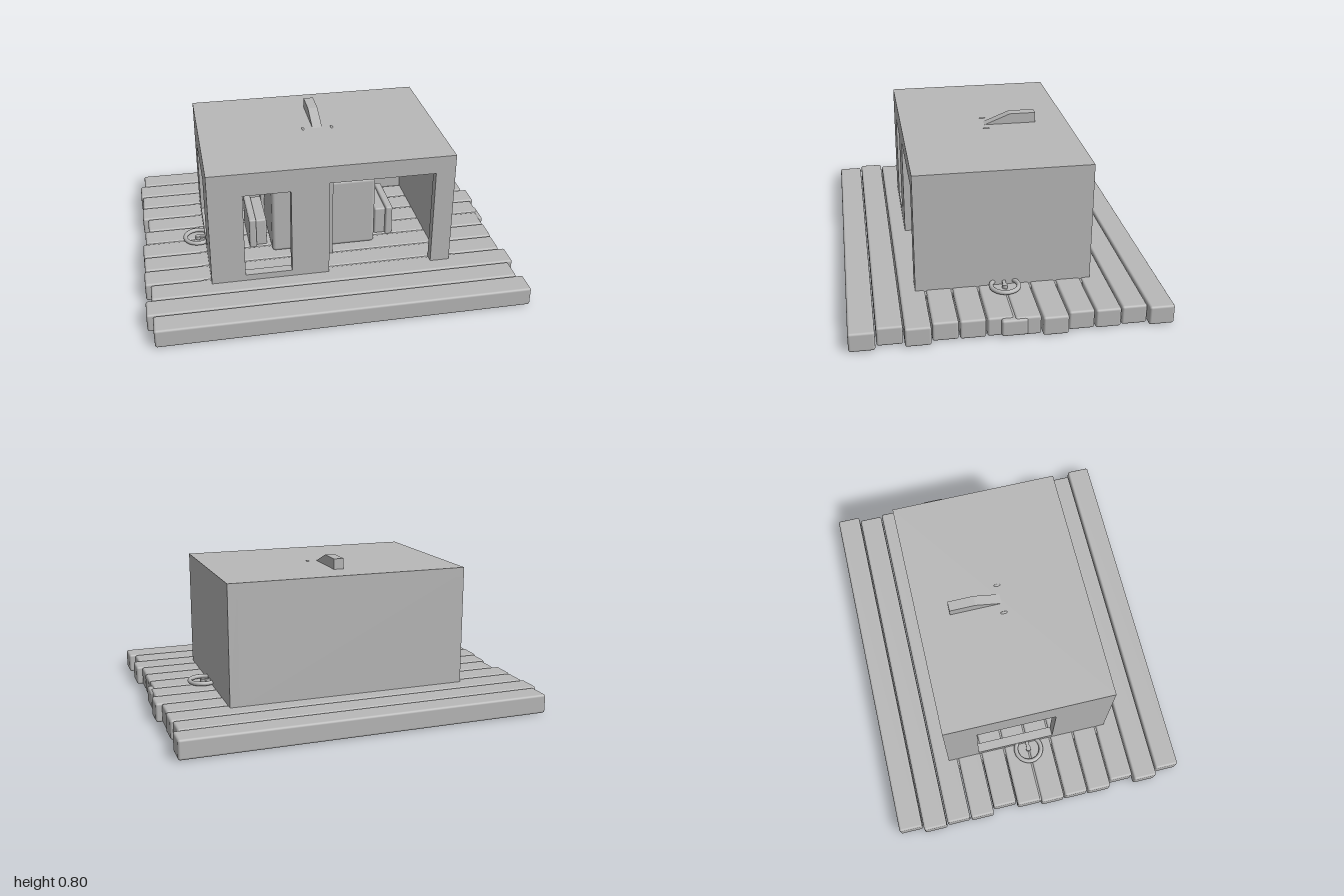
import * as THREE from 'three';
import { RoundedBoxGeometry } from 'three/addons/geometries/RoundedBoxGeometry.js';

export function createModel() {
  const model = new THREE.Group();
  const grey = new THREE.MeshStandardMaterial({ color: 0xb8b8b8 });
  grey.name = 'plain grey';

  const add = (name, geometry, x = 0, y = 0, z = 0, parent = model) => {
    const mesh = new THREE.Mesh(geometry, grey);
    mesh.name = name;
    mesh.position.set(x, y, z);
    parent.add(mesh);
    return mesh;
  };
  // Boxes are given by their limits on each axis
  const box = (name, x0, x1, y0, y1, z0, z1, radius = 0, parent = model) => {
    const size = [x1 - x0, y1 - y0, z1 - z0];
    const geometry = radius ? new RoundedBoxGeometry(...size, 2, radius) : new THREE.BoxGeometry(...size);
    return add(name, geometry, (x0 + x1) / 2, (y0 + y1) / 2, (z0 + z1) / 2, parent);
  };
  const outline = (points) => new THREE.Shape(points.map(([x, y]) => new THREE.Vector2(x, y)));
  const rect = (x0, x1, y0, y1) => outline([[x0, y0], [x1, y0], [x1, y1], [x0, y1]]);
  const extrude = (shape, depth) => new THREE.ExtrudeGeometry(shape, { depth, bevelEnabled: false });

  // Deck: twelve planks, each shifted a little sideways
  const deck = new THREE.Group();
  deck.name = 'deck';
  model.add(deck);
  const shifts = [0.005, -0.02, -0.01, -0.015, 0.015, -0.005, -0.02, -0.017, -0.02, 0.01, -0.02, 0.013];
  shifts.forEach((shift, i) => {
    const z = (i - 5.5) * 0.135;
    box('plank', shift - 0.98, shift + 0.98, 0.003, 0.106, z - 0.0645, z + 0.0645, 0.012, deck);
  });
  box('crossBeam', -0.985, 0.985, 0.01, 0.1, -0.065, 0.065, 0.012, deck);
  box('baseSlab', -0.69, 0.69, 0, 0.1, -0.41, 0.41, 0, deck);

  // Cabin
  const cabin = new THREE.Group();
  cabin.name = 'cabin';
  model.add(cabin);
  const X = 0.65, Z = 0.456, T = 0.05, bottom = 0.1, top = 0.747;

  // Front wall with a doorway open at the floor and a window
  const front = outline([
    [-X, bottom], [-0.02, bottom], [-0.02, 0.65], [0.545, 0.65],
    [0.545, bottom], [X, bottom], [X, top - T], [-X, top - T],
  ]);
  front.holes.push(rect(-0.47, -0.22, 0.14, 0.62));
  add('frontWall', extrude(front, T), 0, 0, Z - T, cabin);

  // Right wall with a window, drawn with shape x along +z
  const side = rect(-Z, Z - T, bottom, top - T);
  side.holes.push(rect(-0.28, 0.148, 0.14, 0.57));
  const sideWall = add('rightWall', extrude(side, T), -X + T, 0, 0, cabin);
  sideWall.rotation.y = -Math.PI / 2;

  box('leftWall', X - T, X, bottom, top - T, -Z, Z - T, 0, cabin);
  box('backWall', -X + T, X - T, bottom, top - T, -Z, -Z + T, 0, cabin);
  box('roof', -X, X, top - T, top, -Z, Z, 0, cabin);

  // Cushioned seat inside the cabin
  const seat = new THREE.Group();
  seat.name = 'seat';
  model.add(seat);
  box('seatBlock', -0.29, 0.29, bottom, 0.51, -0.15, 0.2, 0.02, seat);
  box('seatBack', -0.31, 0.31, bottom, 0.575, -0.22, -0.15, 0.01, seat);
  for (const s of [-1, 1]) {
    box('armPanel', s * 0.345 - 0.035, s * 0.345 + 0.035, bottom, 0.265, -0.15, 0.12, 0.01, seat);
    box('armRest', s * 0.39 - 0.02, s * 0.39 + 0.02, bottom, 0.28, -0.15, 0.14, 0.01, seat);
  }

  // Post in front of the seat and the bent arm rising through the roof
  box('post', -0.036, 0.036, bottom, 0.635, 0.225, 0.275);
  const arm = outline([
    [-0.27, 0.64], [-0.27, 0.56], [0.14, 0.71], [0.21, 0.71],
    [0.21, bottom], [0.28, bottom], [0.28, 0.803], [0.14, 0.803],
  ]);
  const armMesh = add('bentArm', extrude(arm, 0.054), -0.027, 0, 0);
  armMesh.rotation.y = Math.PI / 2;

  // Mirrored fittings
  for (const s of [-1, 1]) {
    // Small loops just breaking through the roof
    const loop = add('roofLoop', new THREE.TorusGeometry(0.022, 0.007, 8, 20), s * 0.08, 0.725, 0);
    loop.rotation.y = Math.PI / 2;

    // Flat ring on the deck with hub and inward spoke
    const ring = new THREE.Group();
    ring.name = 'deckRing';
    ring.position.set(s * 0.69, 0.122, 0);
    model.add(ring);
    const hoop = add('hoop', new THREE.TorusGeometry(0.071, 0.012, 10, 40), 0, 0, 0, ring);
    hoop.rotation.x = Math.PI / 2;
    add('hub', new THREE.CylinderGeometry(0.014, 0.014, 0.02, 16), 0, -0.004, 0, ring);
    const spoke = add('spoke', new THREE.BoxGeometry(0.071, 0.012, 0.018), -s * 0.035, 0, 0, ring);
    spoke.name = 'spoke';
  }

  return model;
}
